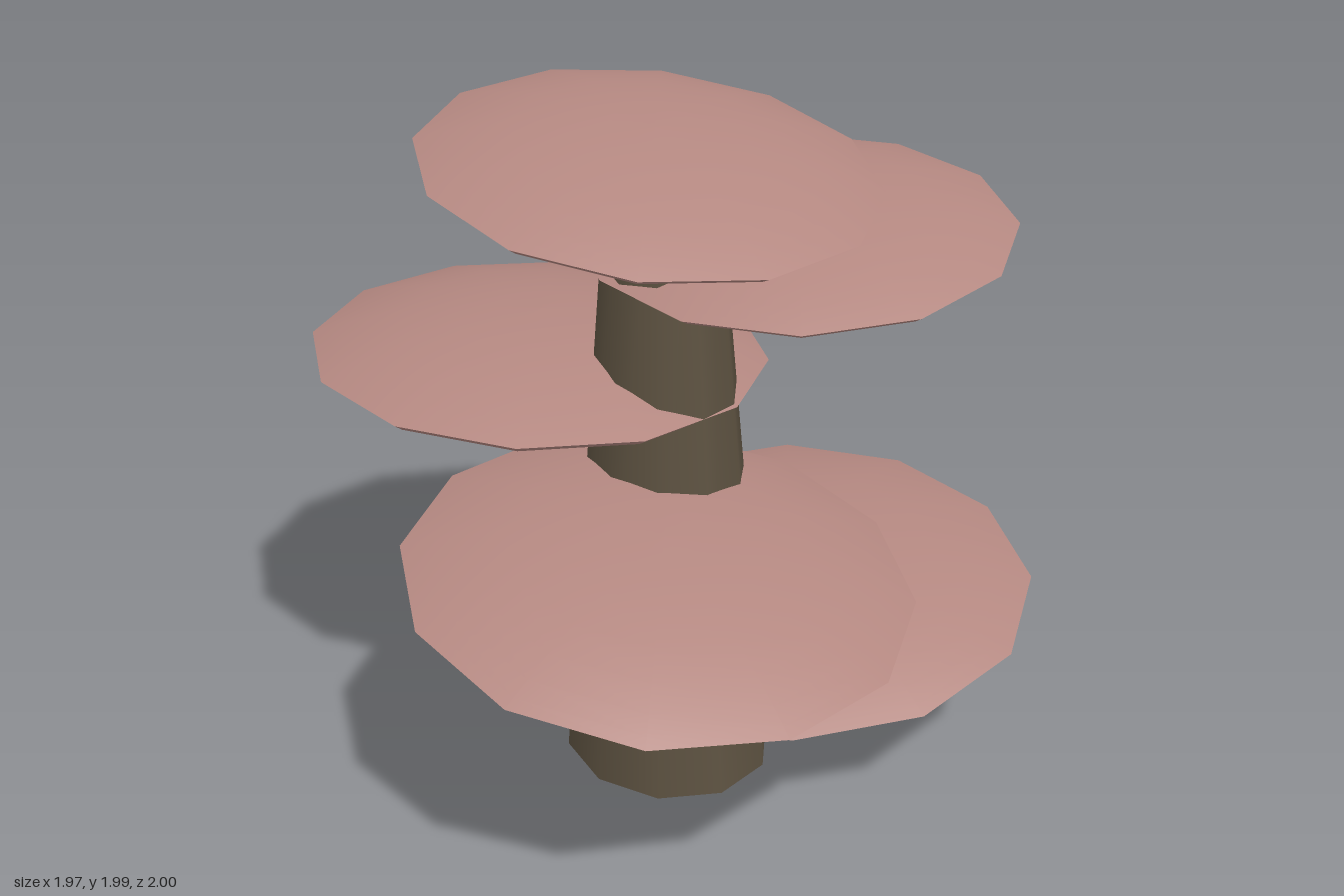
import * as THREE from 'three';

const PINK = 0xb38780, CREAM = 0xe1cda8, BARK = 0x5c5140;
const SIDES = 12;

function part(name, geometry, color) {
  const mesh = new THREE.Mesh(geometry, new THREE.MeshStandardMaterial({ color }));
  mesh.name = name;
  return mesh;
}

// Lathe from [radius, height] pairs, listed from the underside outwards and up
const turned = (pairs) =>
  new THREE.LatheGeometry(pairs.map(([r, y]) => new THREE.Vector2(r, y)), SIDES);

// Shelf cap of radius 1: shallow dome, bevelled rim and a flat ringed underside
function createCap(name) {
  const cap = new THREE.Group();
  cap.name = name;
  const dome = [1, 0.95, 0.87, 0.75, 0.6, 0.4, 0.2, 0].map((t) => [t, 0.18 * (1 - t ** 2.3)]);
  const low = -0.033;
  cap.add(
    part('capDome', turned(dome), PINK),
    part('capRim', turned([[0.955, low], [1, 0]]), PINK),
    part('undersideRing', turned([[0.86, low], [0.955, low]]), CREAM),
    part('underside', turned([[0.09, low], [0.86, low]]), PINK),
    part('undersideSpot', turned([[0, low], [0.09, low]]), CREAM)
  );
  return cap;
}

export function createModel() {
  const model = new THREE.Group();
  model.name = 'shelfFungus';

  // Tapered, slightly oval stem
  const stem = part('stem', new THREE.CylinderGeometry(0.145, 0.322, 1.9, 10), BARK);
  stem.scale.x = 0.885;
  stem.position.set(-0.12, 0.95, -0.012);
  model.add(stem);

  // Caps from the bottom up: centre, radius, slope along x, slope along z
  const caps = [
    [0.285, 0.412, -0.015, 0.7, 0.084, -0.1],
    [-0.325, 0.775, 0.345, 0.664, -0.038, -0.172],
    [-0.318, 1.137, -0.37, 0.631, -0.044, -0.036],
    [0.283, 1.5, -0.005, 0.59, 0.081, -0.094],
    [-0.33, 1.862, 0.335, 0.555, -0.036, -0.175],
  ];
  caps.forEach(([x, y, z, radius, slopeX, slopeZ], i) => {
    const cap = createCap(`cap${i + 1}`);
    cap.position.set(x, y, z);
    cap.scale.setScalar(radius);
    cap.rotation.set(-Math.atan(slopeZ), 0, Math.atan(slopeX));
    model.add(cap);
  });
  return model;
}
